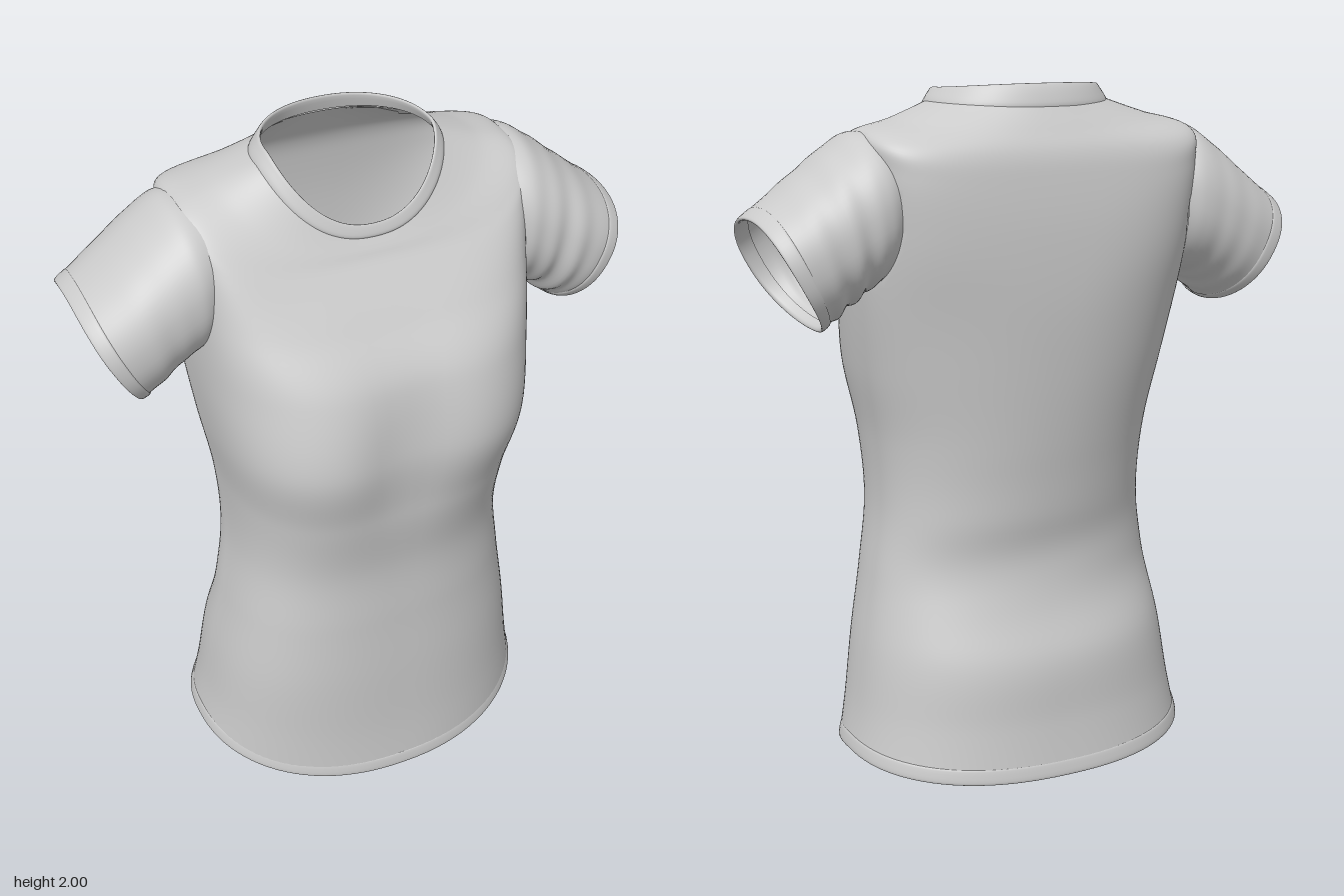
import * as THREE from 'three';

const material = new THREE.MeshStandardMaterial({ color: 0xcccccc, side: THREE.DoubleSide });

// Smooth interpolation through a list of equally long number rows
function sampleRows(rows, t) {
  const last = rows.length - 1;
  const i = Math.min(Math.floor(t), last - 1), f = t - i;
  const p0 = rows[Math.max(i - 1, 0)], p1 = rows[i], p2 = rows[i + 1], p3 = rows[Math.min(i + 2, last)];
  return p1.map((b, k) => {
    const m1 = (p2[k] - p0[k]) / 2, m2 = (p3[k] - b) / 2, d = p2[k] - b;
    return b + m1 * f + (3 * d - 2 * m1 - m2) * f * f + (m1 + m2 - 2 * d) * f * f * f;
  });
}

// Skin closed cross-sections; triangles whose corners all satisfy skip are left open
function loft(name, rows, steps, segs, pointAt, skip = () => false) {
  const count = (rows.length - 1) * steps;
  const pts = [], index = [];
  for (let j = 0; j <= count; j++) {
    const row = sampleRows(rows, j / steps);
    for (let i = 0; i < segs; i++) pts.push(pointAt(row, (i / segs) * Math.PI * 2, j / steps));
  }
  for (let j = 0; j < count; j++) {
    for (let i = 0; i < segs; i++) {
      const a = j * segs + i, b = j * segs + (i + 1) % segs, c = a + segs, d = b + segs;
      for (const tri of [[a, c, b], [b, c, d]]) {
        if (!tri.every((k) => skip(pts[k]))) index.push(...tri);
      }
    }
  }
  const geometry = new THREE.BufferGeometry().setFromPoints(pts);
  geometry.setIndex(index);
  geometry.computeVertexNormals();
  const mesh = new THREE.Mesh(geometry, material);
  mesh.name = name;
  return mesh;
}

const bump = (v, centre, width) => Math.exp(-(((v - centre) / width) ** 2));
const power = (v, p) => Math.sign(v) * Math.abs(v) ** p;

// Oval armholes: 1 on the rim, less inside
const holeY = 1.665, holeZ = -0.08;
const armholeRadius = (p) => (Math.abs(p.x) < 0.36 ? 9
  : Math.hypot((p.y - holeY) / 0.188, (p.z - holeZ) / 0.185));

// Body section: [half width, zFront, zBack, zSide, yFront, ySide, yBack, squareness front, back]
function bodyPoint([a, zf, zb, zs, yf, ys, yb, nf, nb], u) {
  const c = Math.cos(u), s = Math.sin(u), front = s > 0;
  const p = 2 / (front ? nf : nb);
  const k = Math.abs(s) ** p;
  const x = a * power(c, p);
  const y = ys + ((front ? yf : yb) - ys) * Math.abs(s) ** (front ? 1.6 : 1.3);
  let z = zs + ((front ? zf : zb) - zs) * k;
  // The lower body is turned slightly to its left
  z -= 0.09 * x * bump(y, 0.65, 0.55);
  if (front) {
    // Hollow between the bust
    z -= 0.05 * k * bump(x, 0, 0.15) * bump(y, 1.22, 0.24);
  } else {
    // Soft folds across the small of the back
    z -= 0.004 * k * Math.sin(y * 24 + x * 3) * bump(y, 0.62, 0.2);
  }
  return new THREE.Vector3(x, y, z);
}

// Draw points near an armhole onto its rim so that the opening is clean
function torsoPoint(row, u) {
  const p = bodyPoint(row, u), r = armholeRadius(p);
  if (Math.abs(r - 1) < 0.1) {
    p.y = holeY + (p.y - holeY) / r;
    p.z = holeZ + (p.z - holeZ) / r;
  }
  return p;
}

const torsoRows = [
  [0.53, 0.38, -0.415, -0.02, 0.006, 0.09, 0.05, 2.2, 2.3],
  [0.508, 0.373, -0.395, -0.02, 0.17, 0.21, 0.2, 2.35, 2.25],
  [0.484, 0.37, -0.375, -0.02, 0.39, 0.4, 0.39, 2.5, 2.15],
  [0.45, 0.363, -0.298, -0.01, 0.6, 0.6, 0.6, 2.6, 2.1],
  [0.423, 0.362, -0.307, -0.01, 0.8, 0.8, 0.8, 2.7, 2.1],
  [0.43, 0.402, -0.33, -0.02, 1.0, 1.0, 1.0, 2.8, 2.1],
  [0.462, 0.44, -0.35, -0.04, 1.2, 1.2, 1.2, 3, 2.2],
  [0.485, 0.388, -0.364, -0.08, 1.41, 1.42, 1.41, 3, 2.5],
  [0.49, 0.28, -0.364, -0.08, 1.56, 1.62, 1.6, 3.6, 3.5],
  [0.496, 0.205, -0.353, -0.08, 1.66, 1.79, 1.74, 3.8, 4.2],
  [0.494, 0.172, -0.338, -0.085, 1.705, 1.872, 1.82, 3.2, 3.8],
  [0.38, 0.155, -0.304, -0.07, 1.735, 1.909, 1.882, 2.6, 2.7],
  [0.264, 0.136, -0.262, -0.04, 1.765, 1.95, 1.945, 2.3, 2.2],
];

// Flat neckband, rolled over at its upper edge
const collarRows = [
  [0.27, 0.137, -0.268, -0.042, 1.757, 1.944, 1.938, 2.3, 2.2],
  [0.264, 0.141, -0.267, -0.04, 1.765, 1.958, 1.95, 2.3, 2.2],
  [0.251, 0.137, -0.256, -0.035, 1.782, 1.976, 1.98, 2.25, 2.2],
  [0.242, 0.131, -0.244, -0.032, 1.796, 1.986, 2.0, 2.25, 2.2],
  [0.236, 0.126, -0.238, -0.032, 1.791, 1.98, 1.993, 2.25, 2.2],
  [0.246, 0.127, -0.248, -0.035, 1.768, 1.955, 1.955, 2.25, 2.2],
];

// Stitched fold along the bottom edge
const hemRows = [
  [0.523, 0.375, -0.408, -0.02, 0.045, 0.125, 0.09, 2.2, 2.3],
  [0.527, 0.38, -0.412, -0.02, 0.04, 0.119, 0.084, 2.2, 2.3],
  [0.533, 0.384, -0.418, -0.02, 0.01, 0.091, 0.054, 2.2, 2.3],
  [0.53, 0.38, -0.415, -0.02, 0.001, 0.082, 0.045, 2.2, 2.3],
  [0.524, 0.374, -0.409, -0.02, 0.01, 0.091, 0.054, 2.2, 2.3],
  [0.518, 0.369, -0.403, -0.02, 0.045, 0.125, 0.09, 2.2, 2.3],
];

// Sleeve section: [xTop, yTop, xBottom, yBottom, zFront, zBack, inward curve at front and back]
const sleeveRows = [
  [0.46, 1.876, 0.465, 1.465, 0.13, -0.285, 0.02],
  [0.52, 1.87, 0.49, 1.45, 0.148, -0.306, 0.02],
  [0.6, 1.815, 0.535, 1.42, 0.15, -0.307, 0.005],
  [0.7, 1.735, 0.585, 1.375, 0.152, -0.3, -0.01],
  [0.797, 1.66, 0.622, 1.345, 0.138, -0.287, -0.02],
];

// Folded sleeve edge
const cuffRows = [
  [0.768, 1.682, 0.607, 1.354, 0.143, -0.292, -0.015],
  [0.774, 1.68, 0.611, 1.349, 0.147, -0.294, -0.017],
  [0.8, 1.66, 0.624, 1.34, 0.143, -0.291, -0.02],
  [0.803, 1.652, 0.628, 1.344, 0.137, -0.285, -0.02],
  [0.795, 1.65, 0.623, 1.354, 0.131, -0.278, -0.02],
  [0.764, 1.674, 0.604, 1.366, 0.134, -0.282, -0.015],
];

function sleevePoint(side, wrinkle) {
  return ([xt, yt, xb, yb, zf, zb, curve], u, t) => {
    const c = power(Math.cos(u), 0.9), s = power(-side * Math.sin(u), 0.9);
    // Gathered folds, strongest under the arm
    const fold = 1 + wrinkle * Math.sin(t * 7 + s * 1.5) * (0.6 - 0.4 * c) * bump(t, 2.4, 1);
    const reach = (xt - xb) / 2 * c * fold - curve * s * s;
    return new THREE.Vector3(
      side * ((xt + xb) / 2 + reach),
      (yt + yb) / 2 + (yt - yb) / 2 * c * fold,
      (zf + zb) / 2 + (zf - zb) / 2 * s * fold,
    );
  };
}

export function createModel() {
  const shirt = new THREE.Group();
  shirt.name = 'shirt';
  shirt.add(loft('torso', torsoRows, 9, 120, torsoPoint, (p) => armholeRadius(p) < 1.001));
  shirt.add(loft('collar', collarRows, 3, 96, bodyPoint));
  shirt.add(loft('hem', hemRows, 3, 96, bodyPoint));
  for (const side of [1, -1]) {
    const label = side > 0 ? 'left' : 'right';
    shirt.add(loft(label + 'Sleeve', sleeveRows, 10, 64, sleevePoint(side, side > 0 ? 0.035 : 0.008)));
    shirt.add(loft(label + 'Cuff', cuffRows, 3, 64, sleevePoint(side, 0)));
  }
  return shirt;
}
